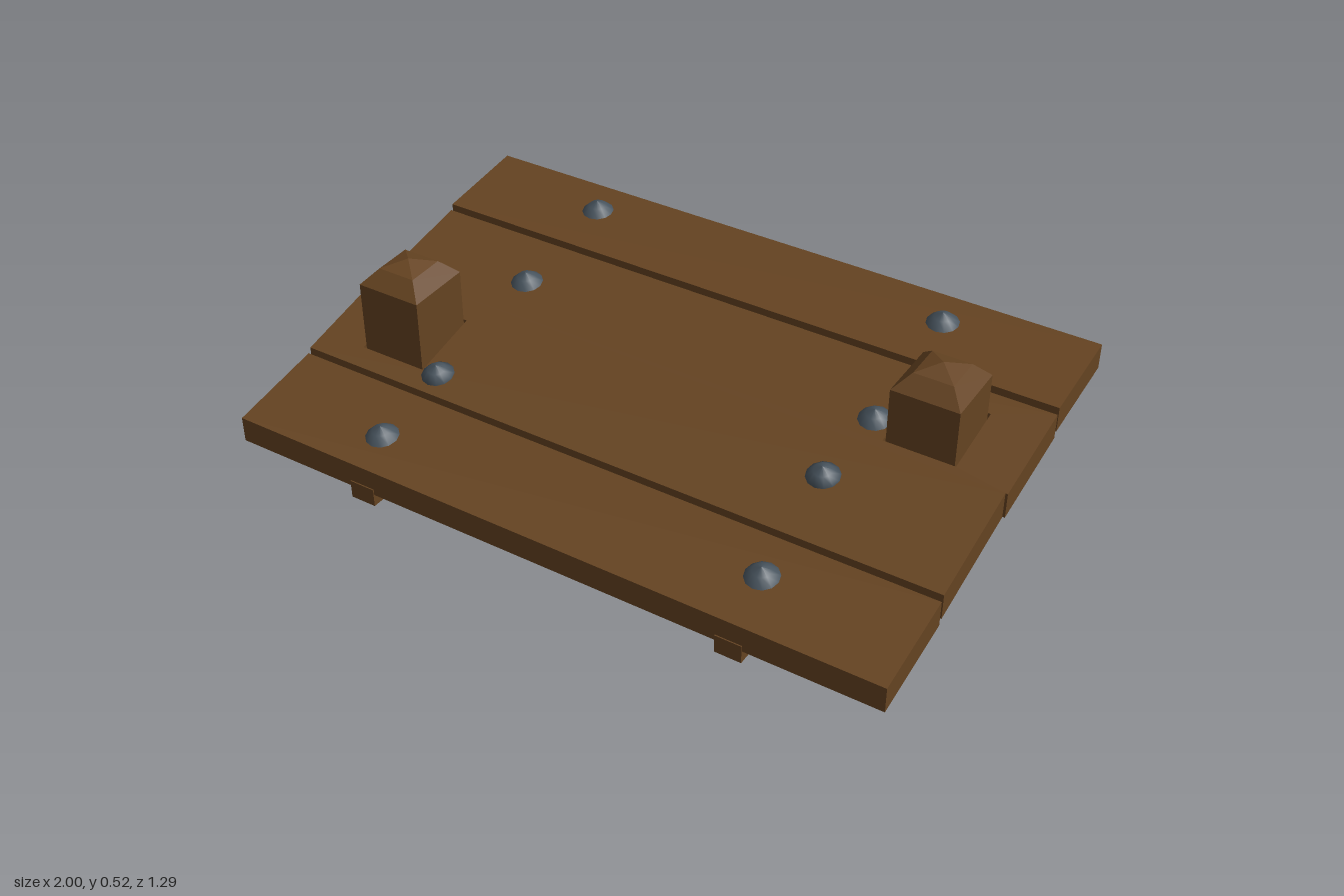
import * as THREE from 'three';

const wood = new THREE.MeshStandardMaterial({ color: 0x654321 });
wood.name = 'brown wood';
const iron = new THREE.MeshStandardMaterial({ color: 0x48545e });
iron.name = 'dark iron';

// Each plank: front and back edge (z, height of top), and an optional post hole
const PLANKS = [
  { zf: 0.645, yf: 0.17, zb: 0.353, yb: 0.216 },
  { zf: 0.343, yf: 0.23, zb: -0.008, yb: 0.305, hole: [-0.75, 0.17] },
  { zf: -0.028, yf: 0.288, zb: -0.342, yb: 0.34, hole: [0.736, -0.162] },
  { zf: -0.35, yf: 0.357, zb: -0.643, yb: 0.388 },
];
// Nails as x, z, plank index
const NAILS = [
  [-0.6, 0.52, 0], [0.57, 0.48, 0], [-0.595, 0.27, 1], [0.555, 0.135, 1],
  [-0.595, -0.17, 2], [0.575, -0.12, 2], [-0.58, -0.53, 3], [0.575, -0.53, 3],
];
const THICK = 0.078;

const slope = (p) => (p.yb - p.yf) / (p.zf - p.zb);
const topAt = (p, z) => p.yf + (p.zf - z) * slope(p);

function add(group, name, geometry, material) {
  const mesh = new THREE.Mesh(geometry, material);
  mesh.name = name;
  group.add(mesh);
  return mesh;
}

// Rectangle corners in shape space, where shape y is -z
function rect(path, x0, x1, z0, z1) {
  path.moveTo(x0, -z1);
  path.lineTo(x1, -z1);
  path.lineTo(x1, -z0);
  path.lineTo(x0, -z0);
  path.closePath();
  return path;
}

// Flat board with an optional square hole, sheared up towards the back
function plankGeometry(p) {
  const shape = rect(new THREE.Shape(), -1, 1, p.zb, p.zf);
  if (p.hole) {
    const [x, z] = p.hole, h = 0.106;
    shape.holes.push(rect(new THREE.Path(), x - h, x + h, z - h, z + h));
  }
  const g = new THREE.ExtrudeGeometry(shape, { depth: THICK, bevelEnabled: false });
  g.rotateX(-Math.PI / 2);
  const pos = g.attributes.position;
  for (let i = 0; i < pos.count; i++) {
    pos.setY(i, pos.getY(i) - THICK + topAt(p, pos.getZ(i)));
  }
  g.computeVertexNormals();
  return g;
}

// Square post with a two-step pointed cap
function postGeometry() {
  const profile = [[0, 0], [0.1, 0], [0.1, 0.457], [0.058, 0.502], [0, 0.523]]
    .map(([r, y]) => new THREE.Vector2(r * Math.SQRT2, y));
  const g = new THREE.LatheGeometry(profile, 4, Math.PI / 4).toNonIndexed();
  g.computeVertexNormals();
  return g;
}

// Tapered side runner, drawn in (z, y) and extruded along x
function supportGeometry(width) {
  const shape = new THREE.Shape(
    [[-0.648, 0.055], [0.645, 0.016], [0.645, 0.335], [-0.648, 0.11]]
      .map(([a, b]) => new THREE.Vector2(a, b)));
  const g = new THREE.ExtrudeGeometry(shape, { depth: width, bevelEnabled: false });
  g.translate(0, 0, -width / 2);
  g.rotateY(Math.PI / 2);
  return g;
}

export function createModel() {
  const model = new THREE.Group();
  model.name = 'plankPlatform';

  PLANKS.forEach((p, i) => add(model, `plank${i + 1}`, plankGeometry(p), wood));

  // Posts through the plank holes
  for (const [name, p] of [['rightPost', PLANKS[1]], ['leftPost', PLANKS[2]]]) {
    add(model, name, postGeometry(), wood).position.set(p.hole[0], 0, p.hole[1]);
  }

  // Runners under the planks
  for (const [name, x] of [['rightSupport', -0.578], ['leftSupport', 0.571]]) {
    add(model, name, supportGeometry(0.078), wood).position.x = x;
  }

  // Domed nail heads, with the second plank's nails reaching out below
  NAILS.forEach(([x, z, k], i) => {
    const p = PLANKS[k];
    const depth = k === 1 ? -0.125 : -0.03;
    const profile = [[0, depth], [0.048, depth + 0.02], [0.048, 0], [0.026, 0.021], [0, 0.034]]
      .map(([r, y]) => new THREE.Vector2(r, y));
    const nail = add(model, `nail${i + 1}`, new THREE.LatheGeometry(profile, 12), iron);
    nail.position.set(x, topAt(p, z), z);
    nail.rotation.x = Math.atan(slope(p));
  });

  return model;
}
